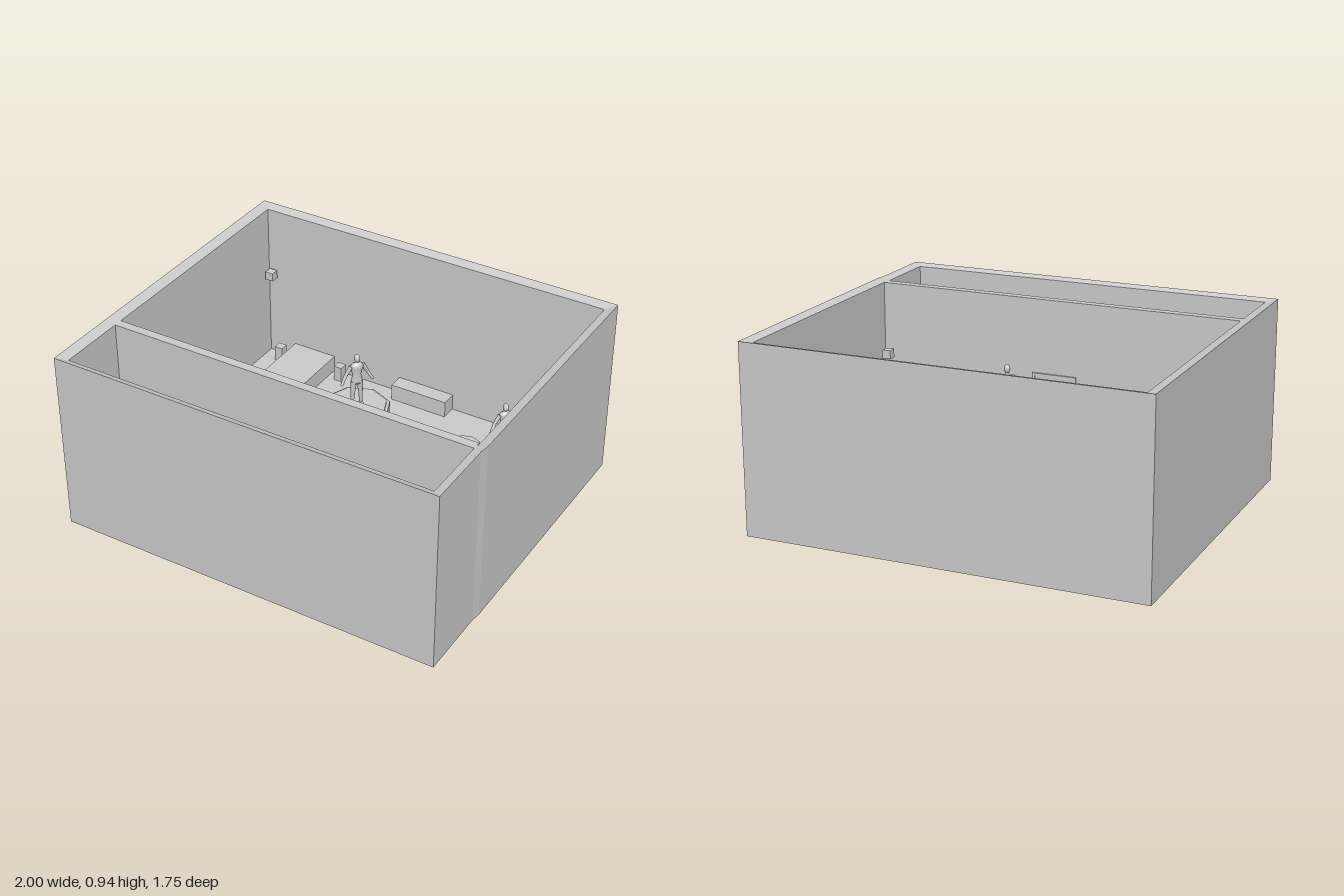
import * as THREE from 'three';

const FLOOR = 0.072;
const RIM = 0.927;

export function createModel() {
  const root = new THREE.Group();
  const mat = new THREE.MeshStandardMaterial({ color: 0xcccccc, flatShading: true });
  const sheet = new THREE.MeshStandardMaterial({
    color: 0xcccccc, flatShading: true, side: THREE.DoubleSide,
  });
  const smooth = new THREE.MeshStandardMaterial({ color: 0xcccccc });

  // Everything standing inside the walls
  const interior = new THREE.Group();
  interior.name = 'interior';
  interior.position.set(0.004, 0, 0.004);
  root.add(interior);

  const add = (name, geo, x, y, z, parent = interior, m = mat) => {
    const mesh = new THREE.Mesh(geo, m);
    mesh.name = name;
    mesh.position.set(x, y, z);
    parent.add(mesh);
    return mesh;
  };
  // Box given by its x and z ranges and its bottom and top
  const block = (name, x0, x1, y0, y1, z0, z1) =>
    add(name, new THREE.BoxGeometry(x1 - x0, y1 - y0, z1 - z0),
      (x0 + x1) / 2, (y0 + y1) / 2, (z0 + z1) / 2);

  // Sheet of quads between two closed plan loops; loops run so that a rising sheet faces outwards
  const band = (name, lower, y0, upper, y1) => {
    const pos = [];
    lower.forEach(([ax, az], i) => {
      const j = (i + 1) % lower.length;
      const [bx, bz] = lower[j], [cx, cz] = upper[j], [dx, dz] = upper[i];
      pos.push(ax, y0, az, bx, y0, bz, cx, y1, cz, ax, y0, az, cx, y1, cz, dx, y1, dz);
    });
    const geo = new THREE.BufferGeometry();
    geo.setAttribute('position', new THREE.Float32BufferAttribute(pos, 3));
    geo.computeVertexNormals();
    add(name, geo, 0, 0, 0, root, sheet);
  };
  const slab = (name, x0, x1, z0, z1, y) =>
    add(name, new THREE.PlaneGeometry(x1 - x0, z1 - z0).rotateX(-Math.PI / 2),
      (x0 + x1) / 2, y, (z0 + z1) / 2, root, sheet);

  // Hollow shell: outer walls open below, sloping rim, two rooms hung inside
  const outer = [[-1, 0.873], [0.993, 0.873], [0.993, 0.51], [1, 0.46], [1, -0.873], [-1, -0.873]];
  const lip = [[-0.945, 0.836], [0.948, 0.836], [0.948, 0.486], [0.953, 0.441],
    [0.953, -0.822], [-0.945, -0.822]];
  band('outerWalls', outer, 0, outer, 0.94);
  band('rim', outer, 0.94, lip, RIM);
  slab('partitionTop', -0.945, 0.95, 0.441, 0.486, RIM);
  for (const [room, x1, z0, z1] of [['mainRoom', 0.953, -0.822, 0.441],
    ['corridor', 0.948, 0.486, 0.836]]) {
    const loop = [[-0.945, z0], [x1, z0], [x1, z1], [-0.945, z1]];
    band(room + 'Walls', loop, FLOOR, loop, RIM);
    slab(room + 'Floor', -0.945, x1, z0, z1, FLOOR);
  }
  slab('threshold', -0.11, 0.44, 0.441, 0.486, FLOOR);

  // Corner speakers
  for (const x of [-0.91, 0.906])
    for (const z of [-0.785, 0.385])
      block('speaker', x - 0.022, x + 0.022, 0.545, 0.59, z - 0.022, z + 0.022);

  // Cabinets either side of the door, and a low one before it
  for (const [x0, x1] of [[-0.7, -0.25], [0.225, 0.68]])
    block('cabinet', x0, x1, FLOOR, 0.455, 0.365, 0.432);
  block('lowCabinet', -0.107, 0.115, FLOOR, 0.17, 0.362, 0.403);

  // Door with raised frame, set against the partition
  block('doorPanel', -0.105, 0.107, FLOOR, 0.535, 0.433, 0.436);
  for (const x of [-0.115, 0.107]) block('doorPost', x, x + 0.013, FLOOR, 0.548, 0.427, 0.436);
  block('doorHead', -0.115, 0.12, 0.535, 0.548, 0.427, 0.436);

  // Bed with bedside tables
  block('bed', -0.79, -0.545, FLOOR, 0.16, -0.82, -0.505);
  for (const x of [-0.85, -0.48])
    block('bedsideTable', x - 0.023, x + 0.023, FLOOR, 0.155, -0.79, -0.744);

  // Low counter and desk along the back wall
  block('backCounter', -0.15, 0.165, FLOOR, 0.16, -0.825, -0.742);
  block('backDesk', 0.655, 0.81, FLOOR, 0.18, -0.825, -0.747);

  // Shelves and desk along the left wall
  for (const [z0, z1] of [[-0.44, -0.28], [0.035, 0.2]])
    block('shelf', 0.87, 0.948, FLOOR, 0.37, z0, z1);
  block('sideDesk', 0.87, 0.948, FLOOR, 0.19, -0.19, -0.05);
  block('screen', 0.92, 0.945, 0.19, 0.26, -0.165, -0.075);

  // Sloped console, drawn as a side profile
  const profile = new THREE.Shape([
    [-0.934, FLOOR], [-0.804, FLOOR], [-0.804, 0.15], [-0.82, 0.19],
    [-0.868, 0.195], [-0.908, 0.215], [-0.934, 0.215],
  ].map(([x, y]) => new THREE.Vector2(x, y)));
  add('console',
    new THREE.ExtrudeGeometry(profile, { depth: 0.32, bevelEnabled: false }), 0, 0, -0.28);

  // Small stools
  for (const [x, z] of [[-0.71, -0.12], [0.81, -0.12], [0.73, -0.69]])
    block('stool', x - 0.022, x + 0.022, FLOOR, 0.142, z - 0.022, z + 0.022);

  // Round tables and chairs
  for (const [x, z, r] of [[0.44, -0.43, 0.084], [-0.585, 0.212, 0.07]]) {
    add('tableTop', new THREE.CylinderGeometry(r, r, 0.015, 10), x, 0.182, z);
    add('tableLeg', new THREE.CylinderGeometry(0.015, 0.03, 0.11, 10), x, 0.127, z);
  }
  for (const [x, z, a] of [[0.21, -0.457, 0.08], [0.488, -0.228, 1.65], [-0.37, 0.11, 0.38]])
    add('chair', new THREE.BoxGeometry(0.11, 0.07, 0.125), x, FLOOR + 0.035, z).rotation.y = a;

  // Eight-sided pedestal with a smaller top
  const TOP = 0.46;
  add('pedestal', new THREE.CylinderGeometry(0.168, 0.168, TOP - FLOOR - 0.01, 8),
    0.004, (TOP + FLOOR - 0.01) / 2, -0.122);
  add('pedestalTop', new THREE.CylinderGeometry(0.152, 0.152, 0.01, 8), 0.004, TOP - 0.005, -0.122);

  // Standing figures, arms held away from the body
  const limb = (name, a, b, r0, r1, parent) => {
    const p = new THREE.Vector3(...a), q = new THREE.Vector3(...b);
    const dir = q.clone().sub(p);
    const mid = p.clone().add(q).multiplyScalar(0.5);
    const mesh = add(name, new THREE.CylinderGeometry(r1, r0, dir.length(), 10),
      mid.x, mid.y, mid.z, parent, smooth);
    mesh.quaternion.setFromUnitVectors(new THREE.Vector3(0, 1, 0), dir.normalize());
    add(name + 'End', new THREE.SphereGeometry(r1, 10, 8), ...b, parent, smooth);
  };
  const torso = [[0, 0.125], [0.027, 0.13], [0.029, 0.145], [0.022, 0.175], [0.03, 0.21],
    [0.034, 0.226], [0.026, 0.237], [0.01, 0.243], [0.009, 0.255]]
    .map(([x, y]) => new THREE.Vector2(x, y));
  for (const [x, y, z, a] of [[0.006, TOP, -0.122, 0.94], [0.558, FLOOR, -0.632, 0.97],
    [0.382, FLOOR, 0.203, 0], [0.347, FLOOR, 0.743, 0.97]]) {
    const figure = new THREE.Group();
    figure.name = 'figure';
    figure.position.set(x, y, z);
    figure.rotation.y = a;
    interior.add(figure);
    add('torso', new THREE.LatheGeometry(torso, 14), 0, 0, 0, figure, smooth).scale.z = 0.65;
    add('head', new THREE.SphereGeometry(0.017, 12, 10), 0, 0.267, 0.002, figure, smooth)
      .scale.set(0.85, 1.25, 1);
    for (const s of [-1, 1]) {
      limb('upperArm', [s * 0.03, 0.228, 0], [s * 0.056, 0.18, -0.003], 0.011, 0.009, figure);
      limb('forearm', [s * 0.056, 0.18, -0.003], [s * 0.079, 0.138, 0.006], 0.009, 0.007, figure);
      limb('thigh', [s * 0.015, 0.14, 0], [s * 0.02, 0.075, 0], 0.016, 0.011, figure);
      limb('shin', [s * 0.02, 0.075, 0], [s * 0.023, 0.01, -0.003], 0.011, 0.008, figure);
      add('foot', new THREE.SphereGeometry(0.01, 10, 8), s * 0.023, 0.007, 0.008, figure, smooth)
        .scale.set(0.9, 0.7, 2);
    }
  }
  return root;
}
